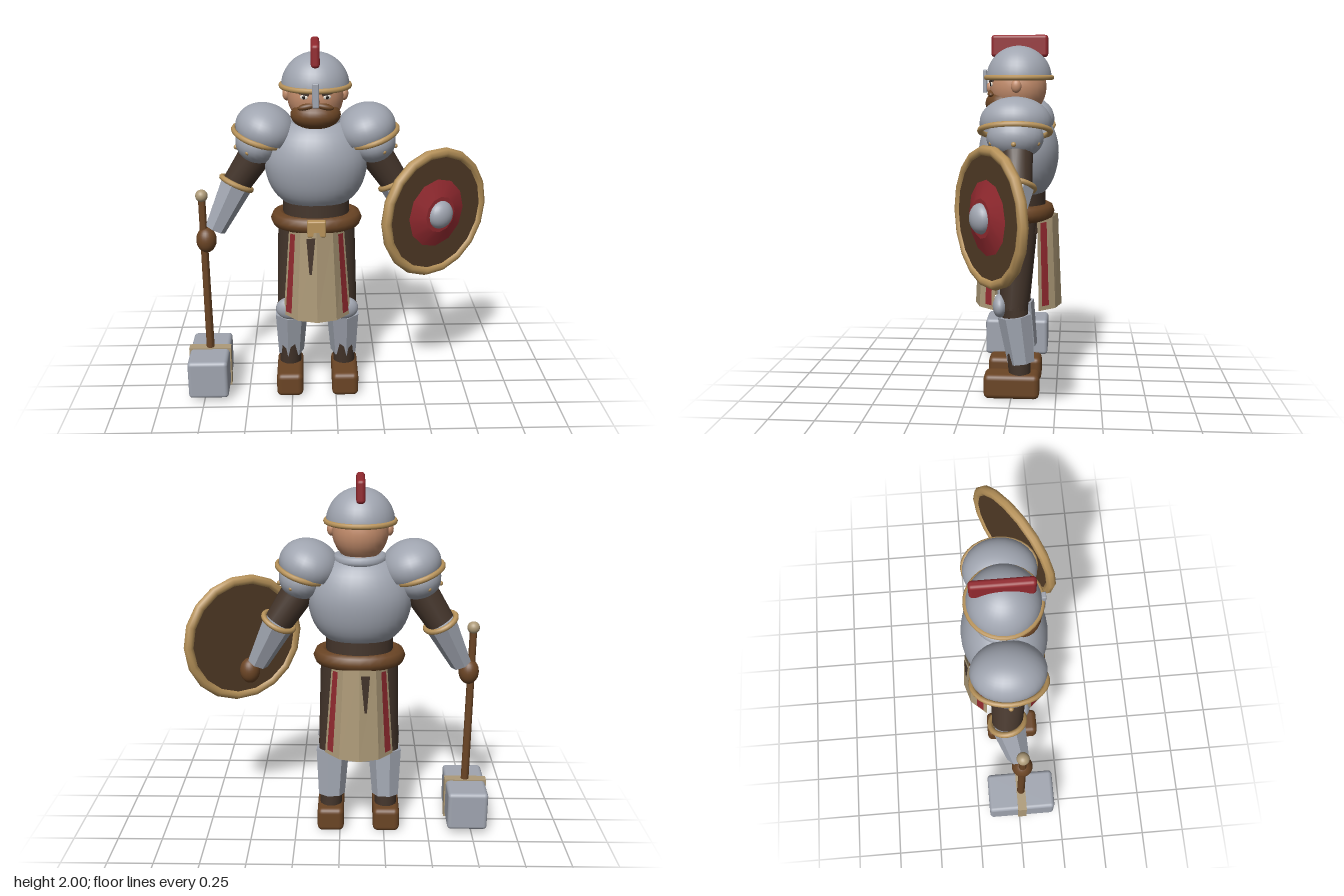
import * as THREE from 'three';
import { toCreasedNormals } from 'three/addons/utils/BufferGeometryUtils.js';
import { RoundedBoxGeometry } from 'three/addons/geometries/RoundedBoxGeometry.js';

const mat = (name, color, side = THREE.FrontSide) => {
  const m = new THREE.MeshStandardMaterial({ color, side });
  m.name = name;
  return m;
};
const V = (x, y, z) => new THREE.Vector3(x, y, z);

export function createModel() {
  const steel = mat('steel', 0xa0a5b0, THREE.DoubleSide);
  const gold = mat('gold trim', 0xb8935a);
  const tan = mat('tan cloth', 0xad9a78, THREE.DoubleSide);
  const red = mat('red', 0x942a30, THREE.DoubleSide);
  const brown = mat('brown leather', 0x6b4525);
  const dark = mat('dark cloth', 0x44352b, THREE.DoubleSide);
  const wood = mat('shield wood', 0x523b26);
  const skin = mat('skin', 0xc48d6c);
  const white = mat('eye white', 0xe4ddd2);
  const black = mat('pupil', 0x1c1613);

  const model = new THREE.Group();
  model.name = 'armouredWarrior';
  const body = new THREE.Group();
  body.name = 'body';
  body.position.set(-0.105, 0, -0.03);
  model.add(body);

  const add = (parent, name, geo, material, x = 0, y = 0, z = 0) => {
    const m = new THREE.Mesh(geo, material);
    m.name = name;
    m.position.set(x, y, z);
    parent.add(m);
    return m;
  };
  const ball = (parent, name, material, x, y, z, rx, ry = rx, rz = rx) => {
    const m = add(parent, name, new THREE.SphereGeometry(1, 24, 16), material, x, y, z);
    m.scale.set(rx, ry, rz);
    return m;
  };
  const flat = (geo) => toCreasedNormals(geo, 0.3);
  const UP = V(0, 1, 0);
  // Tapered cylinder from point a to point b
  const limb = (parent, name, material, a, b, ra, rb, sides = 16, faceted = false) => {
    let geo = new THREE.CylinderGeometry(rb, ra, a.distanceTo(b), sides);
    geo = toCreasedNormals(geo, faceted ? 0.3 : 0.9);
    const m = add(parent, name, geo, material);
    m.position.copy(a).lerp(b, 0.5);
    m.quaternion.setFromUnitVectors(UP, b.clone().sub(a).normalize());
    return m;
  };
  // Ring whose axis follows the given direction
  const ring = (parent, name, material, p, axis, R, tube, sides = 28) => {
    const m = add(parent, name, new THREE.TorusGeometry(R, tube, 8, sides), material, p.x, p.y, p.z);
    m.quaternion.setFromUnitVectors(V(0, 0, 1), axis.clone().normalize());
    return m;
  };

  // Torso
  const profile = [[0.17, 1.13], [0.222, 1.18], [0.26, 1.25], [0.28, 1.34], [0.274, 1.42],
    [0.24, 1.5], [0.18, 1.56], [0.1, 1.595], [0, 1.6]].map(([r, y]) => new THREE.Vector2(r, y));
  const cuirass = add(body, 'breastplate', new THREE.LatheGeometry(
    new THREE.SplineCurve(profile).getPoints(20), 32), steel);
  cuirass.scale.z = 0.79;
  const waist = add(body, 'waist', new THREE.CylinderGeometry(0.18, 0.185, 0.27, 20), dark, 0, 1.06, 0);
  waist.scale.z = 0.82;
  ring(body, 'neckGuard', steel, V(0, 1.575, -0.01), UP, 0.115, 0.028);
  const belt = ring(body, 'belt', brown, V(0, 1.035, 0), UP, 0.205, 0.046);
  belt.scale.y = 0.8;
  add(body, 'buckle', new RoundedBoxGeometry(0.1, 0.09, 0.04, 2, 0.008), gold, 0, 1.035, 0.195);

  // Cloth hangings, folded into four panels; u runs across, v runs down
  const clothPoint = (u, v, grow) => {
    const at = (k) => V(Math.sin(k * Math.PI / 6) * (0.173 + 0.043 * v),
      1.02 - 0.012 * Math.abs(k) * (1 - v) - 0.52 * v,
      Math.cos(k * Math.PI / 6) * (0.22 + 0.025 * v));
    const k = Math.min(1, Math.floor(u));
    const p = at(k).lerp(at(k + 1), u - k);
    return V(p.x * grow, p.y, p.z * grow);
  };
  const patch = (us, v0, v1, grow = 1, shrink = 1) => {
    const pos = [];
    for (let i = 0; i < us.length - 1; i++) {
      const mid = (us[0] + us[us.length - 1]) / 2;
      const low = (u) => mid + (u - mid) * shrink;
      const a = clothPoint(us[i], v0, grow), b = clothPoint(us[i + 1], v0, grow);
      const c = clothPoint(low(us[i]), v1, grow), d = clothPoint(low(us[i + 1]), v1, grow);
      for (const p of [a, c, b, b, c, d]) pos.push(p.x, p.y, p.z);
    }
    const g = new THREE.BufferGeometry();
    g.setAttribute('position', new THREE.Float32BufferAttribute(pos, 3));
    g.computeVertexNormals();
    return g;
  };
  for (const s of [1, -1]) {
    const cloth = new THREE.Group();
    cloth.name = s > 0 ? 'frontCloth' : 'backCloth';
    cloth.rotation.y = s > 0 ? 0 : Math.PI;
    body.add(cloth);
    add(cloth, 'clothPanel', patch([-2, -1, 0, 1, 2], 0, 1), tan);
    add(cloth, 'leftStripe', patch([1.42, 1.82], 0.03, 0.95, 1.02), red);
    add(cloth, 'rightStripe', patch([-1.82, -1.42], 0.03, 0.95, 1.02), red);
    add(cloth, 'clothSlit', patch(s > 0 ? [-0.62, -0.08] : [0.08, 0.62], 0.06, 0.46, 1.015, 0.25), dark);
  }

  // Legs and arms, mirrored
  for (const s of [1, -1]) {
    const leg = new THREE.Group();
    leg.name = s > 0 ? 'leftLeg' : 'rightLeg';
    body.add(leg);
    limb(leg, 'thigh', dark, V(s * 0.1, 1.02, 0), V(s * 0.15, 0.5, 0.015), 0.112, 0.076);
    limb(leg, 'shin', dark, V(s * 0.15, 0.52, 0.015), V(s * 0.157, 0.1, -0.02), 0.075, 0.06);
    ball(leg, 'kneeGuard', steel, s * 0.152, 0.52, 0.092, 0.08, 0.066, 0.043);
    limb(leg, 'greave', steel, V(s * 0.15, 0.465, 0.012), V(s * 0.155, 0.2, -0.026), 0.096, 0.077, 7, true);
    add(leg, 'boot', new RoundedBoxGeometry(0.15, 0.14, 0.31, 3, 0.03), brown, s * 0.158, 0.07, 0.028);

    const arm = new THREE.Group();
    arm.name = s > 0 ? 'leftArm' : 'rightArm';
    body.add(arm);
    // Shoulder: upper dome, gold rim and lower plate
    const dome = add(arm, 'shoulderDome', new THREE.SphereGeometry(1, 28, 16, 0, Math.PI * 2, 0, Math.PI * 0.6),
      steel, s * 0.268, 1.535, 0);
    dome.scale.set(0.163, 0.135, 0.19);
    dome.rotation.z = s * 0.33;
    const rim = ring(arm, 'shoulderRim', gold, V(s * 0.308, 1.495, 0), V(-s * 0.34, 0.94, 0), 0.18, 0.015);
    rim.quaternion.setFromEuler(new THREE.Euler(-Math.PI / 2, 0, 0));
    rim.quaternion.premultiply(new THREE.Quaternion().setFromAxisAngle(V(0, 0, 1), s * 0.34));
    rim.scale.set(0.77, 1.02, 1);
    const plate = ball(arm, 'lowerShoulderPlate', steel, s * 0.31, 1.46, 0, 0.122, 0.11, 0.15);
    plate.rotation.z = s * 0.34;
    for (const a of [-1, 0, 1]) {
      ball(arm, 'rivet', gold, s * (0.31 + 0.118 * Math.cos(a * 1.15)), 1.435, 0.132 * Math.sin(a * 1.15), 0.013);
    }
    const shoulder = V(s * 0.28, 1.46, 0), elbow = V(s * 0.435, 1.225, -0.02), wrist = V(s * 0.56, 0.975, 0.025);
    limb(arm, 'upperArm', dark, shoulder, elbow, 0.095, 0.078);
    limb(arm, 'bracer', steel, elbow, wrist, 0.092, 0.06, 7, true);
    ring(arm, 'bracerRim', gold, elbow, wrist.clone().sub(elbow), 0.088, 0.015);
    ball(arm, 'hand', brown, s * 0.607, 0.92, 0.045, 0.056, 0.072, 0.056);
  }

  // Head
  const head = new THREE.Group();
  head.name = 'head';
  body.add(head);
  limb(head, 'neck', skin, V(0, 1.52, -0.01), V(0, 1.66, -0.01), 0.09, 0.09);
  ball(head, 'face', skin, 0, 1.72, 0.005, 0.15, 0.165, 0.157);
  ball(head, 'beard', brown, 0, 1.63, 0.085, 0.132, 0.077, 0.1);
  ball(head, 'nose', skin, 0, 1.715, 0.158, 0.022, 0.03, 0.022);
  for (const s of [1, -1]) {
    ball(head, 'ear', skin, s * 0.152, 1.725, 0.005, 0.022, 0.036, 0.028);
    ball(head, 'moustache', brown, s * 0.045, 1.685, 0.147, 0.05, 0.018, 0.022).rotation.z = -s * 0.2;
    const eye = ball(head, 'eye', white, s * 0.06, 1.734, 0.147, 0.022, 0.012, 0.005);
    eye.rotation.y = s * 0.4;
    ball(head, 'pupil', black, s * 0.059, 1.734, 0.151, 0.009, 0.01, 0.004);
    const brow = add(head, 'eyebrow', new THREE.BoxGeometry(0.055, 0.012, 0.012), dark, s * 0.06, 1.752, 0.147);
    brow.rotation.set(0, s * 0.4, s * 0.15);
  }

  // Helmet
  const shell = add(head, 'helmetDome', new THREE.SphereGeometry(0.18, 32, 12, 0, Math.PI * 2, 0, Math.PI / 2),
    steel, 0, 1.765, 0);
  shell.scale.y = 0.99;
  ring(head, 'helmetRim', gold, V(0, 1.77, 0), UP, 0.18, 0.014, 32);
  add(head, 'noseGuard', new RoundedBoxGeometry(0.034, 0.125, 0.022, 2, 0.005), steel, 0, 1.75, 0.187);
  add(head, 'crest', new RoundedBoxGeometry(0.046, 0.12, 0.31, 3, 0.018), red, 0, 1.94, -0.005);

  // War hammer in the right hand
  const hammer = new THREE.Group();
  hammer.name = 'hammer';
  model.add(hammer);
  limb(hammer, 'handle', brown, V(-0.72, 0.2, 0.015), V(-0.727, 1.17, 0.015), 0.023, 0.02, 12);
  ball(hammer, 'pommel', tan, -0.727, 1.175, 0.015, 0.034);
  add(hammer, 'hammerHead', new RoundedBoxGeometry(0.225, 0.225, 0.39, 3, 0.022), steel, -0.722, 0.142, 0.015);
  add(hammer, 'hammerBand', new THREE.BoxGeometry(0.238, 0.238, 0.052), tan, -0.722, 0.142, 0.015);

  // Round shield on the left arm
  const shield = new THREE.Group();
  shield.name = 'shield';
  shield.position.set(0.537, 1.09, 0.075);
  shield.rotation.y = 0.583;
  model.add(shield);
  const disc = (name, material, geo, z) => {
    add(shield, name, flat(geo), material, 0, 0, z).rotation.x = Math.PI / 2;
  };
  disc('shieldBoard', wood, new THREE.CylinderGeometry(0.335, 0.335, 0.03, 18), 0);
  disc('shieldCentre', red, new THREE.CylinderGeometry(0.1, 0.197, 0.035, 12), 0.03);
  add(shield, 'shieldRim', new THREE.TorusGeometry(0.332, 0.028, 8, 18), gold);
  ball(shield, 'shieldBoss', steel, 0, 0, 0.045, 0.077, 0.077, 0.055);

  return model;
}
